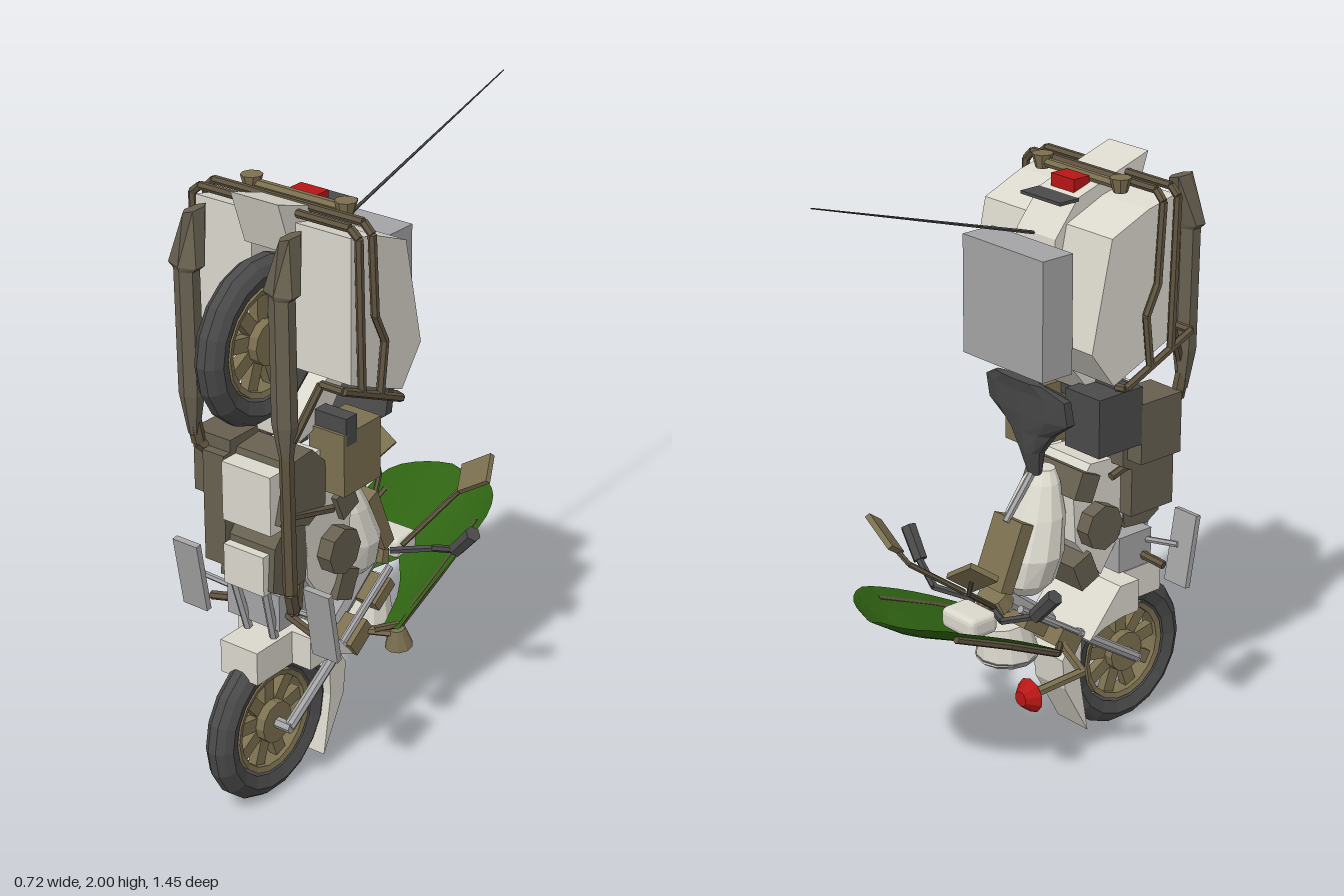
import * as THREE from 'three';
import { mergeGeometries } from 'three/addons/utils/BufferGeometryUtils.js';
import { RoundedBoxGeometry } from 'three/addons/geometries/RoundedBoxGeometry.js';

const mat = (color) => new THREE.MeshStandardMaterial({ color, flatShading: true, side: THREE.DoubleSide });
const V = (p) => new THREE.Vector3(...p);

export function createModel() {
  const root = new THREE.Group();
  const light = mat(0xdad7cc), grey = mat(0xa4a4a6), dark = mat(0x4a4a4a), olive = mat(0x676050);
  const gold = mat(0x7c7050), red = mat(0xb81616), green = mat(0x2f6312), brown = mat(0x5f5440);

  const add = (name, geo, m, parent = root) => {
    const mesh = new THREE.Mesh(geo, m);
    mesh.name = name;
    parent.add(mesh);
    return mesh;
  };
  // Box from its limits
  const box = (name, m, x0, x1, y0, y1, z0, z1, rx = 0) => {
    const b = add(name, new THREE.BoxGeometry(x1 - x0, y1 - y0, z1 - z0), m);
    b.position.set((x0 + x1) / 2, (y0 + y1) / 2, (z0 + z1) / 2);
    b.rotation.x = rx;
  };
  // Tapered cylinder from a to b
  const rodGeo = (a, b, r0, r1 = r0, n = 6) => {
    const d = V(b).sub(V(a));
    const g = new THREE.CylinderGeometry(r1, r0, d.length(), n);
    g.applyQuaternion(new THREE.Quaternion().setFromUnitVectors(new THREE.Vector3(0, 1, 0), d.normalize()));
    return g.translate((a[0] + b[0]) / 2, (a[1] + b[1]) / 2, (a[2] + b[2]) / 2);
  };
  const rod = (name, m, a, b, r0, r1, n) => add(name, rodGeo(a, b, r0, r1, n), m);
  // Angular pipe through points
  const pipe = (name, m, pts, r, n = 6) =>
    add(name, mergeGeometries(pts.slice(1).map((p, i) => rodGeo(pts[i], p, r, r, n))), m);
  // Side profile of [z, y] points extruded from x0 to x1
  const prof = (name, m, pts, x0, x1) => {
    const s = new THREE.Shape(pts.map((p) => new THREE.Vector2(...p)));
    const g = new THREE.ExtrudeGeometry(s, { depth: x1 - x0, bevelEnabled: false });
    return add(name, g.rotateY(-Math.PI / 2).translate(x1, 0, 0), m);
  };
  const arc = (cz, cy, r, a0, a1, n = 8) => Array.from({ length: n + 1 }, (_, i) => {
    const a = THREE.MathUtils.degToRad(a0 + (a1 - a0) * i / n);
    return [cz + r * Math.cos(a), cy + r * Math.sin(a)];
  });
  // Skin over elliptical rings [y, z, rx, rz] centred on x
  const loft = (name, m, rings, n, x = 0) => {
    const pos = [], idx = [];
    rings.forEach(([y, z, rx, rz], j) => {
      for (let i = 0; i < n; i++) {
        const a = (i + 0.5) / n * Math.PI * 2;
        pos.push(x + rx * Math.cos(a), y, z + rz * Math.sin(a));
        const k = j * n + i, l = j * n + (i + 1) % n;
        if (j < rings.length - 1) idx.push(k, k + n, l, l, k + n, l + n);
      }
    });
    for (let i = 1; i < n - 1; i++) {
      const t = (rings.length - 1) * n;
      idx.push(0, i, i + 1, t, t + i + 1, t + i);
    }
    const g = new THREE.BufferGeometry();
    g.setAttribute('position', new THREE.Float32BufferAttribute(pos, 3));
    g.setIndex(idx);
    g.computeVertexNormals();
    return add(name, g, m);
  };
  const both = (f) => [-1, 1].forEach(f);

  // Wheels: tyre, rim, hub and nine spokes
  const ring = (pts) => new THREE.LatheGeometry(pts.map((p) => new THREE.Vector2(...p)), 18).rotateZ(Math.PI / 2);
  const wheel = (name, y) => {
    const w = new THREE.Group();
    w.name = name;
    w.position.set(0, y, 0.474);
    root.add(w);
    add('tyre', ring([[0.177, -0.035], [0.215, -0.05], [0.24, -0.036], [0.256, -0.014], [0.256, 0.014],
      [0.24, 0.036], [0.215, 0.05], [0.177, 0.035], [0.177, -0.035]]), dark, w);
    add('rim', ring([[0.15, -0.03], [0.168, -0.035], [0.168, 0.035], [0.15, 0.03], [0.15, -0.03]]), gold, w);
    add('hub', new THREE.CylinderGeometry(0.068, 0.068, 0.09, 12).rotateZ(Math.PI / 2), gold, w);
    for (let i = 0; i < 9; i++)
      add('spoke', new THREE.BoxGeometry(0.03, 0.11, 0.044).translate(0, 0.105, 0).rotateX(i * Math.PI * 2 / 9), gold, w);
  };
  wheel('frontWheel', 0.257);
  wheel('rearWheel', 1.52);

  // Front mudguard and fork
  prof('frontMudguard', light, [[0.28, 0.05], [0.18, 0.23], [0.168, 0.335], [0.22, 0.415], [0.3, 0.5],
    [0.32, 0.47], [0.25, 0.38], [0.245, 0.25]], -0.07, 0.07);
  prof('mudguardTop', light, [[0.595, 0.455], [0.595, 0.565], [0.35, 0.565], [0.22, 0.415], [0.28, 0.44], [0.36, 0.455]], -0.07, 0.07);
  prof('mudguardFlank', light, [[0.43, 0.455], [0.43, 0.565], [0.35, 0.565], [0.22, 0.415], [0.28, 0.44], [0.36, 0.455]], -0.14, 0.14);
  both((s) => {
    rod('forkLeg', grey, [s * 0.09, 0.257, 0.474], [s * 0.09, 0.43, 0.21], 0.018, 0.018, 8);
    rod('forkTube', grey, [s * 0.09, 0.43, 0.21], [s * 0.09, 0.59, -0.03], 0.013, 0.013, 8);
  });
  rod('frontAxle', grey, [-0.1, 0.257, 0.474], [0.1, 0.257, 0.474], 0.018);
  box('forkClamp', gold, -0.12, 0.12, 0.4, 0.46, 0.1, 0.2, 0.6);
  box('upperClamp', gold, -0.11, 0.11, 0.5, 0.54, -0.03, 0.07, 0.6);
  rod('steeringHead', grey, [0, 0.45, 0.16], [0, 0.6, -0.03], 0.04, 0.04, 8);

  // Bulged windshield in two mirrored halves with a notch for the headlight
  both((s) => {
    const nu = 5, nv = 14, pos = [], idx = [];
    for (let j = 0; j <= nv; j++) {
      const t = 0.62 * Math.sin(j / nv * Math.PI / 2), z = 0.07 - t;
      const w = z > -0.33 ? 0.2 + 0.022 * Math.min(1, t / 0.3)
        : 0.222 * Math.sqrt(Math.max(0, 1 - ((z + 0.33) / 0.22) ** 2));
      const notch = z > -0.17 ? 0.14 * Math.sqrt((z + 0.17) / 0.24) : 0;
      const edge = 0.45 + 0.6 * t - 0.24 * t * t - 0.25 * Math.max(0, t - 0.5);
      const depth = 0.08 * Math.min(1, (z + 0.575) / 0.14) * Math.min(1, (0.12 - z) / 0.2);
      for (let i = 0; i <= nu; i++) {
        const x = notch + (w - notch) * i / nu;
        pos.push(s * x, edge - depth * (1 - (x / Math.max(w, 0.001)) ** 2), z);
        const k = j * (nu + 1) + i, n = k + nu + 1;
        if (i < nu && j < nv) idx.push(k, k + 1, n, k + 1, n + 1, n);
      }
    }
    const g = new THREE.BufferGeometry();
    g.setAttribute('position', new THREE.Float32BufferAttribute(pos, 3));
    g.setIndex(idx);
    g.computeVertexNormals();
    add('windshield', g, green);
    pipe('windshieldBrace', brown, [[s * 0.13, 0.44, 0.1], [s * 0.185, 0.45, 0.04], [s * 0.19, 0.545, -0.16], [s * 0.185, 0.635, -0.37]], 0.012);

    // Handlebar, grip and mirror
    pipe('handlebar', dark, [[s * 0.04, 0.6, -0.1], [s * 0.16, 0.62, -0.165], [s * 0.28, 0.67, -0.13]], 0.012);
    rod('grip', dark, [s * 0.268, 0.665, -0.13], [s * 0.342, 0.752, -0.117], 0.024, 0.026, 6);
    pipe('mirrorArm', brown, [[s * 0.07, 0.62, -0.12], [s * 0.14, 0.74, -0.28], [s * 0.2, 0.82, -0.32]], 0.009);
    const glass = new THREE.BoxGeometry(0.13, 0.018, 0.1).rotateX(0.72).rotateZ(s * 0.58);
    add('mirror', glass, gold).position.set(s * 0.205, 0.832, -0.322);
  });

  // Dash, headlight and small lamps
  add('dash', new RoundedBoxGeometry(0.15, 0.07, 0.11, 2, 0.02), light).position.set(-0.03, 0.585, -0.185);
  rod('headlight', light, [0, 0.405, -0.005], [0, 0.52, -0.02], 0.1, 0.075, 12);
  rod('headlightRing', grey, [0, 0.385, -0.005], [0, 0.405, -0.005], 0.09, 0.102, 12);
  rod('filler', gold, [0, 0.58, -0.05], [0, 0.62, -0.07], 0.06, 0.05, 10);
  pipe('sirenArm', gold, [[-0.1, 0.44, 0.12], [-0.17, 0.34, 0.16], [-0.17, 0.335, -0.05]], 0.016);
  rod('siren', gold, [-0.17, 0.335, -0.04], [-0.17, 0.335, -0.06], 0.03, 0.057, 10);
  rod('sirenLens', red, [-0.17, 0.335, -0.06], [-0.17, 0.335, -0.1], 0.057, 0.025, 10);
  rod('horn', gold, [0.18, 0.44, 0.05], [0.18, 0.375, 0.04], 0.025, 0.045, 10);
  rod('hornArm', gold, [0.09, 0.44, 0.13], [0.18, 0.42, 0.05], 0.014);

  // Fuel tank, tank bag and saddle
  loft('fuelTank', light, [[0.6, 0.06, 0.06, 0.05], [0.64, 0.07, 0.095, 0.1], [0.73, 0.083, 0.12, 0.105], [0.85, 0.115, 0.1, 0.085],
    [0.95, 0.135, 0.065, 0.055], [0.99, 0.145, 0.04, 0.035]], 12);
  box('tankBag', gold, -0.065, 0.065, 0.635, 0.86, -0.045, 0.005, 0.4);
  rod('tankStrap', grey, [0, 1.01, 0.12], [0, 0.85, -0.01], 0.012);
  loft('saddle', dark, [[0.98, 0.11, 0.025, 0.02], [1.06, 0.1, 0.045, 0.035], [1.13, 0.1, 0.1, 0.045], [1.19, 0.095, 0.185, 0.05],
    [1.27, 0.08, 0.185, 0.045], [1.31, 0.045, 0.11, 0.02]], 10);

  // Engine, gearbox and side boxes
  prof('crankcase', light, [[0.4, 0.99], [0.25, 1.0], [0.18, 0.9], [0.19, 0.75], [0.3, 0.61], [0.39, 0.74]], -0.1, 0.1);
  rod('clutchCover', olive, [-0.15, 0.795, 0.27], [0.15, 0.795, 0.27], 0.075, 0.075, 8);
  box('upperCover', olive, -0.12, 0.12, 0.89, 0.98, 0.18, 0.26, 0.4);
  box('lowerCover', olive, -0.12, 0.12, 0.6, 0.7, 0.18, 0.26, -0.4);
  prof('gearbox', olive, [[0.55, 0.99], [0.5, 1.17], [0.4, 1.18], [0.34, 1.12], [0.34, 0.98], [0.42, 0.94]], -0.15, 0.13);
  prof('cylinderBlock', olive, [[0.55, 0.76], [0.54, 0.9], [0.46, 0.99], [0.38, 0.9], [0.4, 0.74], [0.5, 0.73]], -0.1, 0.1);
  box('cylinderHead', light, -0.07, 0.08, 0.75, 0.88, 0.4, 0.57);
  box('sump', light, -0.07, 0.11, 0.96, 1.15, 0.34, 0.57);
  box('frontCover', grey, -0.12, 0.08, 0.6, 0.72, 0.36, 0.5);
  box('sideColumn', olive, -0.15, -0.07, 0.8, 1.16, 0.38, 0.56);
  box('battery', dark, -0.21, -0.06, 1.07, 1.26, 0.18, 0.36);
  box('toolBox', gold, 0.07, 0.2, 1.02, 1.22, 0.165, 0.34);
  box('airBox', olive, -0.21, -0.07, 1.0, 1.2, 0.36, 0.53);
  box('rearBracket', dark, -0.2, 0.2, 1.18, 1.27, 0.28, 0.33);
  both((s) => {
    rod('frameStay', brown, [s * 0.12, 1.01, 0.54], [s * 0.13, 0.95, 0.31], 0.014);
    rod('downTube', grey, [s * 0.05, 0.57, 0.49], [s * 0.06, 0.76, 0.54], 0.015);
    rod('footPeg', brown, [s * 0.08, 0.64, 0.46], [s * 0.2, 0.62, 0.48], 0.014);
    box('legGuard', grey, s * 0.25 - 0.047, s * 0.25 + 0.047, 0.57, 0.81, 0.5, 0.52, 0.17);
    rod('guardStay', grey, [s * 0.1, 0.68, 0.48], [s * 0.24, 0.7, 0.5], 0.01);
  });

  // Twin fishtail mufflers, one on a long pipe and one on a short pipe
  [-0.185, 0.16].forEach((x) => loft('muffler', olive, [[1.2, 0.555, 0.018, 0.016], [1.33, 0.56, 0.041, 0.033], [1.72, 0.565, 0.041, 0.033],
    [1.735, 0.565, 0.06, 0.038], [1.89, 0.525, 0.018, 0.05]], 6, x));
  pipe('longExhaust', brown, [[0.16, 1.25, 0.555], [0.16, 0.78, 0.545], [0.15, 0.71, 0.52], [0.09, 0.65, 0.44], [0.07, 0.75, 0.4]], 0.022);
  pipe('shortExhaust', brown, [[-0.185, 1.25, 0.555], [-0.18, 1.17, 0.54], [-0.13, 1.1, 0.48]], 0.022);

  // Rear mudguard, panniers and rear trunk
  prof('rearMudguard', light, [[0.485, 1.95], [0.2, 1.86], [0.11, 1.75], [0.08, 1.45], [0.27, 1.22], [0.405, 1.19],
    ...arc(0.474, 1.52, 0.268, 256, 100, 8)], -0.085, 0.085);
  both((s) => {
    const [a, b] = s < 0 ? [-0.28, -0.075] : [0.075, 0.28];
    prof('pannier', light, [[0.41, 1.875], [0.3, 1.85], [0.155, 1.79], [0.08, 1.45], [0.17, 1.33], [0.41, 1.43]], a, b);
    // Tubular guard around each pannier
    const x = s * 0.3;
    pipe('guardFront', brown, [[0, 1.9, 0.4], [s * 0.27, 1.9, 0.4], [x, 1.875, 0.4], [x, 1.4, 0.385]], 0.013);
    pipe('guardBack', brown, [[0, 1.9, 0.34], [s * 0.27, 1.9, 0.34], [x, 1.87, 0.34], [x, 1.62, 0.325], [x, 1.53, 0.28], [x, 1.37, 0.3]], 0.013);
    pipe('guardLower', brown, [[s * 0.18, 1.28, 0.55], [s * 0.22, 1.44, 0.47], [x, 1.44, 0.47], [x, 1.32, 0.2], [s * 0.27, 1.32, 0.19]], 0.013);
    rod('rearLamp', gold, [s * 0.17, 1.88, 0.29], [s * 0.17, 1.925, 0.29], 0.022, 0.034, 8);
  });
  rod('lampBar', gold, [-0.17, 1.9, 0.29], [0.17, 1.9, 0.29], 0.015);
  box('tailLight', red, -0.05, 0.05, 1.86, 1.905, 0.215, 0.28);
  box('plate', dark, -0.088, 0.085, 1.85, 1.86, 0.125, 0.2);
  box('rearTrunk', grey, -0.2, 0.155, 1.37, 1.745, -0.043, 0.075);
  rod('antenna', dark, [0, 1.755, 0.1], [0, 2, -0.72], 0.006, 0.002, 5);
  return root;
}
